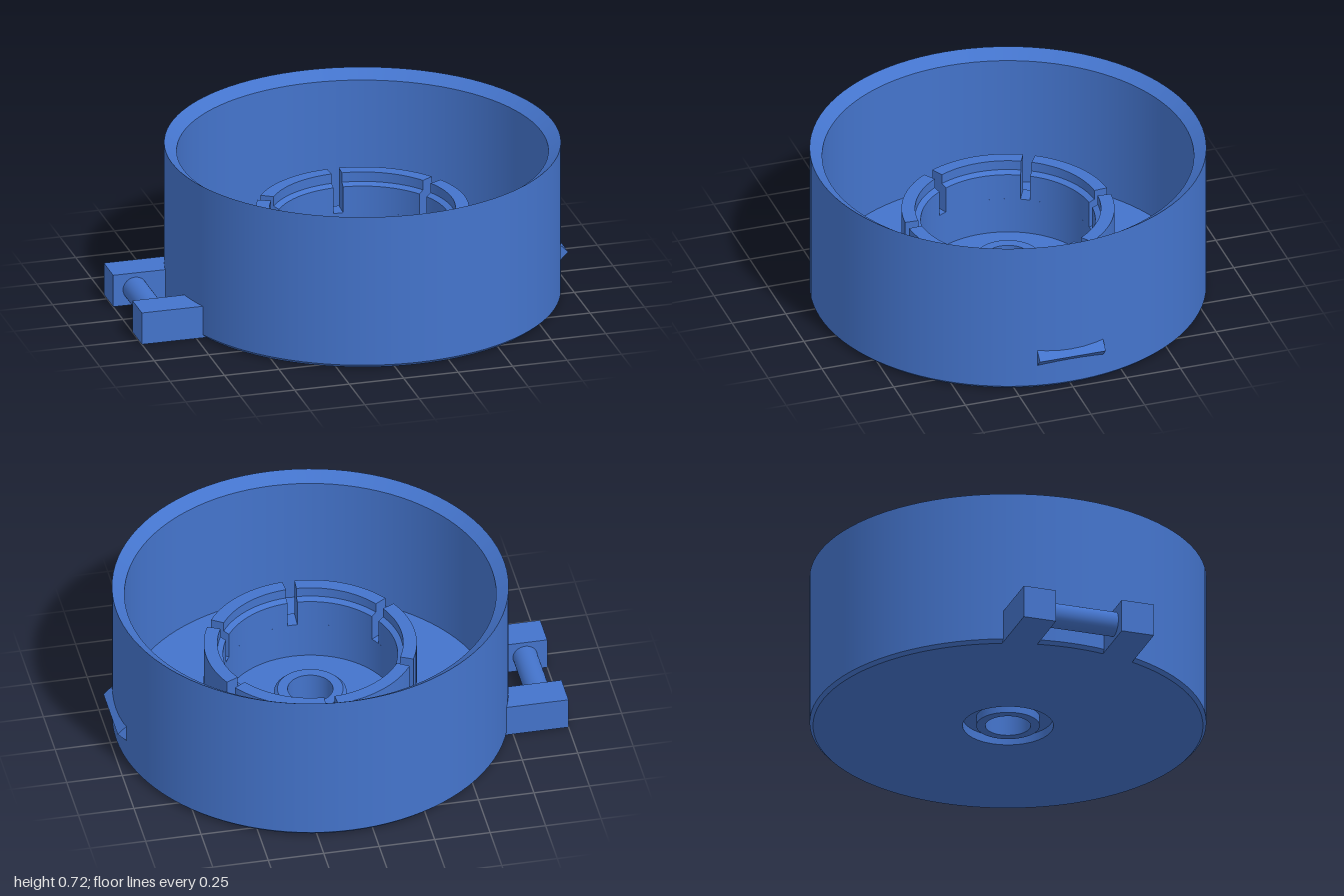
import * as THREE from 'three';
import { mergeGeometries } from 'three/addons/utils/BufferGeometryUtils.js';

const CENTRE_X = 0.1;

// Revolve a closed profile (counter-clockwise), one band per segment so profile corners stay crisp.
function revolve(profile, segments, start = 0, length = Math.PI * 2) {
  const pts = profile.map(([r, y]) => new THREE.Vector2(r, y));
  return mergeGeometries(pts.map((p, i) =>
    new THREE.LatheGeometry([p, pts[(i + 1) % pts.length]], segments, start, length)));
}

// Flat end face of a revolved sector at the given angle.
function sectorEnd(profile, angle) {
  const shape = new THREE.Shape(profile.map(([r, y]) => new THREE.Vector2(r, y)));
  return new THREE.ShapeGeometry(shape).rotateY(angle - Math.PI / 2);
}

export function createModel() {
  const group = new THREE.Group();
  const blue = new THREE.MeshStandardMaterial({ color: 0x4474cc, side: THREE.DoubleSide });
  blue.name = 'blue';

  function add(name, geometry, x = 0, y = 0, z = 0) {
    const mesh = new THREE.Mesh(geometry, blue);
    mesh.name = name;
    mesh.position.set(x, y, z);
    group.add(mesh);
    return mesh;
  }

  // Cup: grooved underside, chamfered wall and rim, base of the inner ring, bored central boss
  add('cup', revolve([
    [0.10, 0], [0.14, 0], [0.14, 0.04], [0.20, 0.04], [0.20, 0],
    [0.86, 0], [0.875, 0.015], [0.875, 0.72], [0.82, 0.68], [0.82, 0.06],
    [0.47, 0.06], [0.47, 0.23], [0.385, 0.23], [0.385, 0.06],
    [0.16, 0.06], [0.16, 0.145], [0.145, 0.16], [0.10, 0.16],
  ], 96), CENTRE_X);

  // Six fingers of the inner ring, separated by narrow slots
  const finger = [
    [0.385, 0.23], [0.47, 0.23], [0.47, 0.41], [0.41, 0.41], [0.41, 0.365], [0.385, 0.353],
  ];
  const gap = 0.115;
  for (let i = 0; i < 6; i++) {
    const start = i * Math.PI / 3 + gap / 2;
    const length = Math.PI / 3 - gap;
    add('ringFinger', revolve(finger, 16, start, length), CENTRE_X);
    add('ringFingerEnd', sectorEnd(finger, start), CENTRE_X);
    add('ringFingerEnd', sectorEnd(finger, start + length), CENTRE_X);
  }

  // Hinge lugs and pin
  for (const side of [-1, 1]) {
    add('hingeLug', new THREE.BoxGeometry(0.295, 0.15, 0.15), -0.8525, 0.075, side * 0.228);
  }
  const pin = new THREE.CylinderGeometry(0.055, 0.055, 0.32, 32).rotateX(Math.PI / 2);
  add('hingePin', pin, -0.9, 0.075, 0);

  // Latch ridge with a triangular section
  const ridge = new THREE.Shape([
    new THREE.Vector2(0.945, 0.1), new THREE.Vector2(1, 0.155), new THREE.Vector2(0.945, 0.21),
  ]);
  add('latchRidge', new THREE.ExtrudeGeometry(ridge, { depth: 0.306, bevelEnabled: false }), 0, 0, -0.153);

  return group;
}
